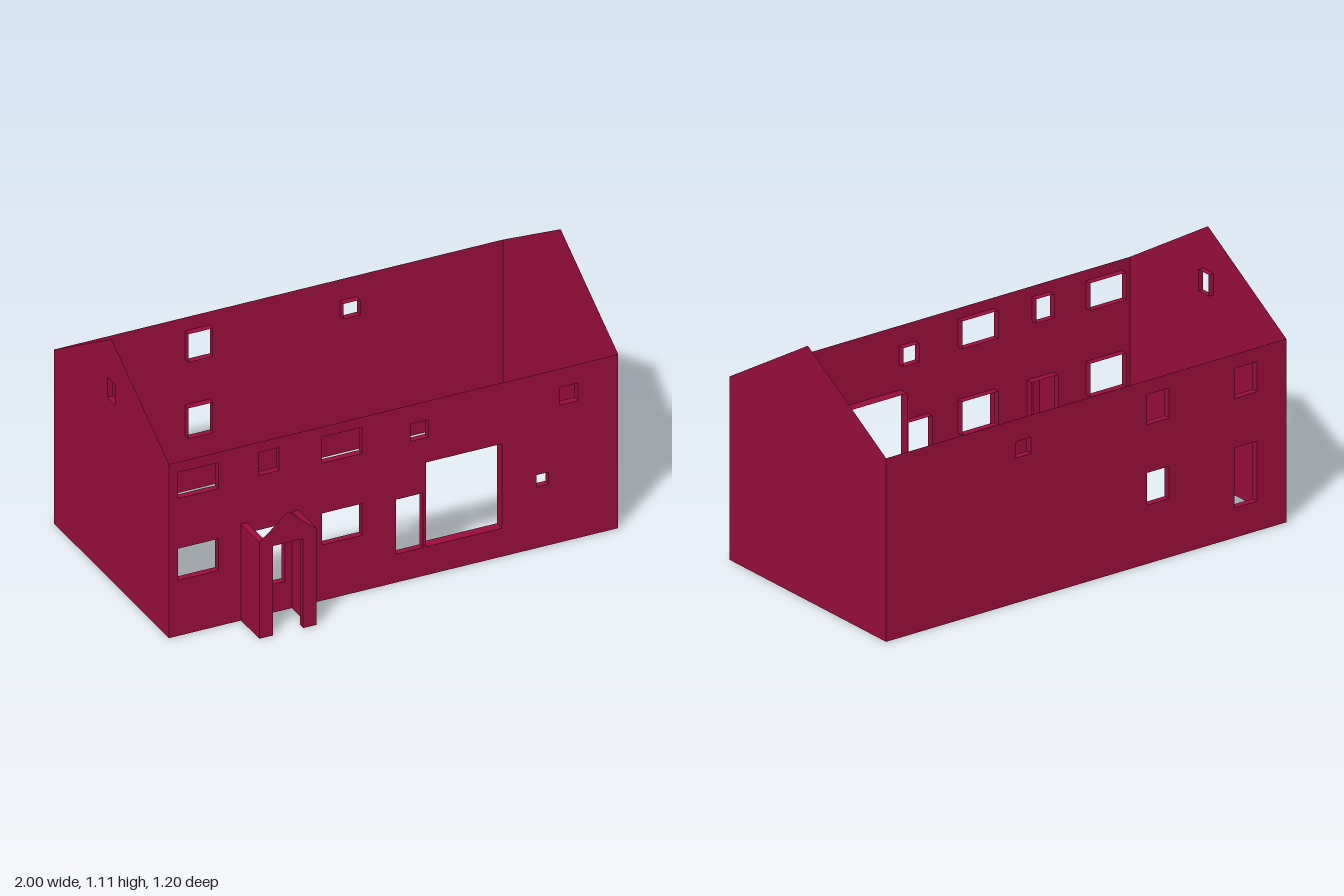
import * as THREE from 'three';
import { mergeGeometries } from 'three/addons/utils/BufferGeometryUtils.js';

const EAVES = 0.797, RIDGE = 1.108, FRONT = 0.435, BACK = -0.6, RIDGE_Z = -0.082;
const REVEAL = 0.03;

const crimson = new THREE.MeshStandardMaterial({ color: 0x970d3b, side: THREE.DoubleSide });
crimson.name = 'crimson';

function named(geometry, name) {
  const mesh = new THREE.Mesh(geometry, crimson);
  mesh.name = name;
  return mesh;
}

// Four plates lining an opening, running inward from the wall face
function revealGeometry([x0, x1, y0, y1, depth = REVEAL]) {
  const plates = [];
  for (const x of [x0, x1]) {
    plates.push(new THREE.PlaneGeometry(depth, y1 - y0).rotateY(Math.PI / 2)
      .translate(x, (y0 + y1) / 2, -depth / 2));
  }
  for (const y of [y0, y1]) {
    plates.push(new THREE.PlaneGeometry(x1 - x0, depth).rotateX(-Math.PI / 2)
      .translate((x0 + x1) / 2, y, -depth / 2));
  }
  return mergeGeometries(plates);
}

// Sheet wall facing local +z, openings given as [x0, x1, y0, y1, depth]
function wall(name, outline, openings = []) {
  const group = new THREE.Group();
  group.name = name;
  const shape = new THREE.Shape(outline.map(([x, y]) => new THREE.Vector2(x, y)));
  for (const [x0, x1, y0, y1] of openings) {
    shape.holes.push(new THREE.Path([
      new THREE.Vector2(x0, y0), new THREE.Vector2(x0, y1),
      new THREE.Vector2(x1, y1), new THREE.Vector2(x1, y0),
    ]));
  }
  group.add(named(new THREE.ShapeGeometry(shape), name + 'Face'));
  if (openings.length) {
    group.add(named(mergeGeometries(openings.map(revealGeometry)), name + 'Reveals'));
  }
  return group;
}

function box(name, x0, x1, y0, y1, z0, z1) {
  return named(new THREE.BoxGeometry(x1 - x0, y1 - y0, z1 - z0)
    .translate((x0 + x1) / 2, (y0 + y1) / 2, (z0 + z1) / 2), name);
}

function porch() {
  const group = new THREE.Group();
  group.name = 'porch';
  const L = -0.68, R = -0.425, doorL = -0.62, doorR = -0.485;
  const top = 0.442, doorTop = 0.41, z = 0.6, t = 0.028;
  group.add(
    box('porchSideWall', L, L + t, 0, top, FRONT, z - t),
    box('porchSideWall', R - t, R, 0, top, FRONT, z - t),
    box('porchJamb', L, doorL, 0, top, z - t, z),
    box('porchJamb', doorR, R, 0, top, z - t, z),
    box('porchLintel', doorL, doorR, doorTop, top, z - t, z),
  );
  // Thin gable above the eaves
  const gable = wall('porchGable', [[L, top], [R, top], [(L + R) / 2, 0.55]]);
  gable.position.z = z;
  group.add(gable);
  return group;
}

export function createModel() {
  const model = new THREE.Group();
  model.name = 'houseShell';
  const rectangle = [[-1, 0], [1, 0], [1, EAVES], [-1, EAVES]];

  const front = wall('frontWall', rectangle, [
    [-0.96, -0.78, 0.63, 0.75], [-0.96, -0.78, 0.255, 0.4],
    [-0.6, -0.51, 0.645, 0.75],
    [-0.32, -0.14, 0.63, 0.75], [-0.32, -0.14, 0.255, 0.4],
    [0.075, 0.155, 0.63, 0.71], [0.74, 0.82, 0.63, 0.71],
    [0.01, 0.13, 0.13, 0.38],
    [0.145, 0.483, 0.13, 0.517, 0.045],
    [0.637, 0.69, 0.28, 0.335],
    [-0.62, -0.485, 0.13, 0.395], // door inside the porch
  ]);
  front.position.z = FRONT;

  // Back openings are listed in world x, then mirrored into the turned wall
  const back = wall('backWall', rectangle, [
    [-0.855, -0.742, 0.605, 0.735], [-0.855, -0.742, 0.13, 0.39],
    [-0.415, -0.305, 0.605, 0.735], [-0.415, -0.305, 0.255, 0.395],
    [0.275, 0.35, 0.63, 0.7],
  ].map(([x0, x1, y0, y1]) => [-x1, -x0, y0, y1]));
  back.rotation.y = Math.PI;
  back.position.z = BACK;

  const gable = [[BACK, 0], [FRONT, 0], [FRONT, EAVES], [RIDGE_Z, RIDGE], [BACK, EAVES]];
  const rightGable = wall('rightGableWall', gable, [[-0.12, -0.05, 0.822, 0.916, 0.025]]);
  rightGable.rotation.y = -Math.PI / 2;
  rightGable.position.x = -1;

  const leftGable = wall('leftGableWall', gable.map(([z, y]) => [-z, y]).reverse());
  leftGable.rotation.y = Math.PI / 2;
  leftGable.position.x = 1;

  model.add(front, back, rightGable, leftGable, porch());
  return model;
}
